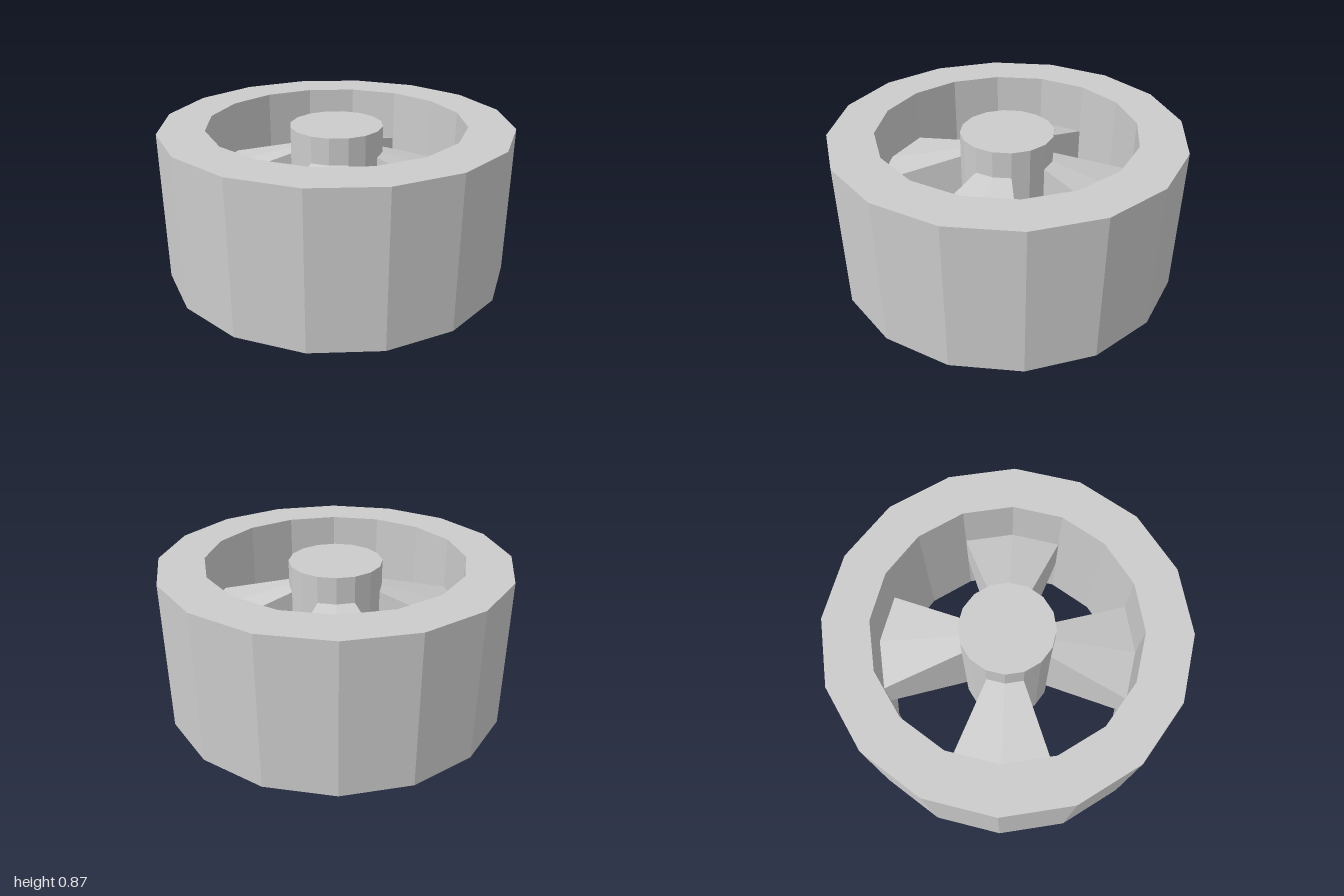
import * as THREE from 'three';

const HEIGHT = 0.865, SIDES = 16;
const RIM_OUTER = 1, RIM_INNER = 0.74, HUB_RADIUS = 0.267, HUB_INSET = 0.016;

const points = (list) => list.map(([x, y]) => new THREE.Vector2(x, y));

export function createModel() {
  const model = new THREE.Group();
  model.name = 'wheel';
  const material = new THREE.MeshStandardMaterial({ color: 0xcccccc, flatShading: true });
  const capMaterial = material.clone();
  capMaterial.side = THREE.DoubleSide;

  const add = (parent, name, geometry, mat = material) => {
    const mesh = new THREE.Mesh(geometry, mat);
    mesh.name = name;
    parent.add(mesh);
    return mesh;
  };

  // Broad faceted rim
  add(model, 'rim', new THREE.LatheGeometry(points([
    [RIM_OUTER, 0], [RIM_OUTER, HEIGHT], [RIM_INNER, HEIGHT], [RIM_INNER, 0], [RIM_OUTER, 0],
  ]), SIDES));

  // Solid hub, slightly recessed at both ends
  const hub = add(model, 'hub', new THREE.CylinderGeometry(
    HUB_RADIUS, HUB_RADIUS, HEIGHT - 2 * HUB_INSET, SIDES));
  hub.position.y = HEIGHT / 2;

  // Spoke section: thick at the hub, thinner at the rim
  const section = points([
    [HUB_RADIUS, 0.17], [RIM_INNER, 0.31],
    [RIM_INNER, HEIGHT - 0.31], [HUB_RADIUS, HEIGHT - 0.17],
  ]);
  const arc = Math.PI / 4;
  const bottomGeometry = new THREE.LatheGeometry(section.slice(0, 2), 2, -arc / 2, arc);
  const topGeometry = new THREE.LatheGeometry(section.slice(2), 2, -arc / 2, arc);
  const sideGeometry = new THREE.ShapeGeometry(new THREE.Shape(section));

  // Four flared spokes, each spanning two facets of the rim and hub
  for (let i = 0; i < 4; i++) {
    const spoke = new THREE.Group();
    spoke.name = 'spoke' + (i + 1);
    spoke.rotation.y = Math.PI / 4 + i * Math.PI / 2;
    add(spoke, 'spokeBottom', bottomGeometry);
    add(spoke, 'spokeTop', topGeometry);
    for (const side of [-1, 1]) {
      const wall = add(spoke, 'spokeSide', sideGeometry, capMaterial);
      wall.rotation.y = side * arc / 2 - Math.PI / 2;
    }
    model.add(spoke);
  }
  return model;
}
